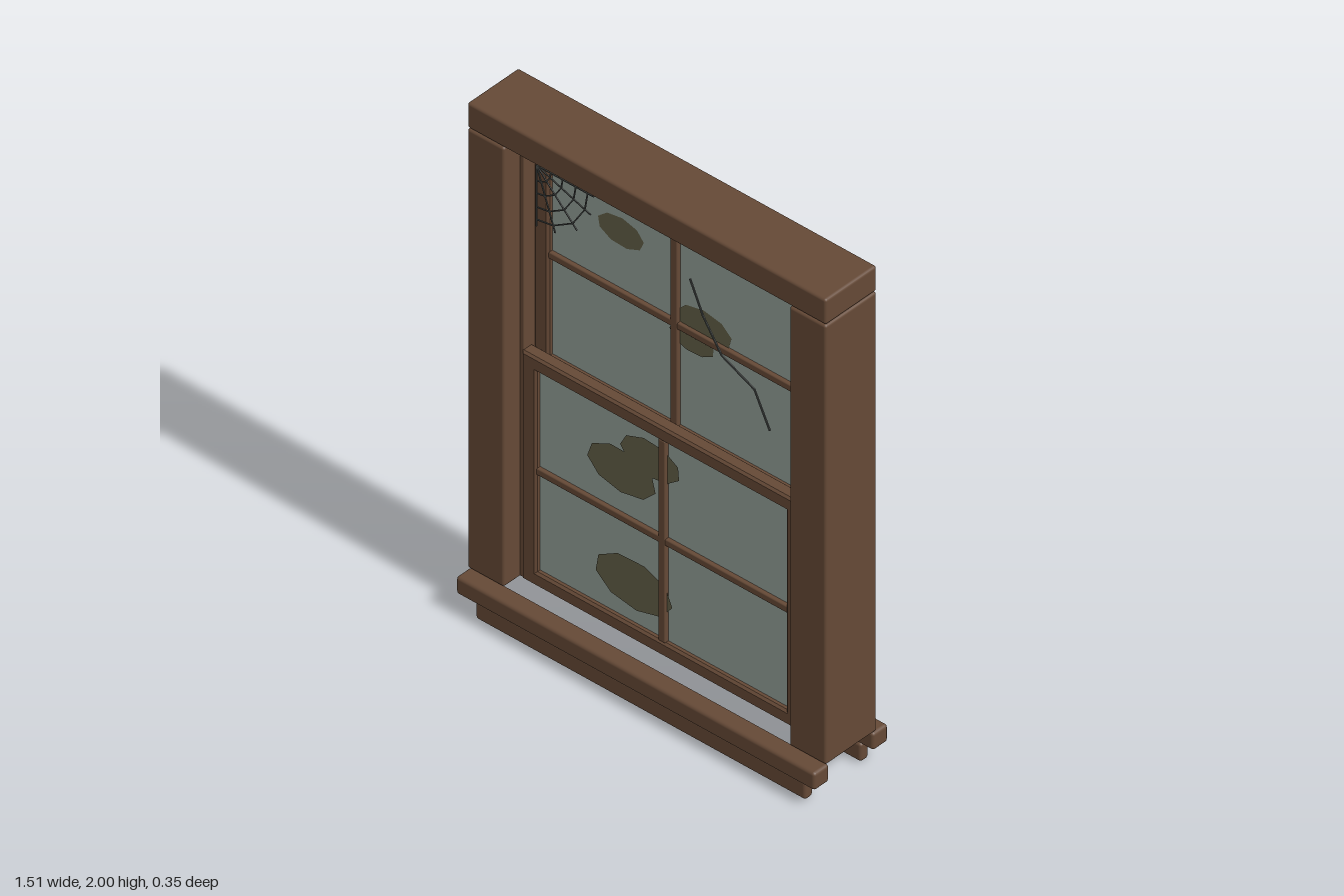
import * as THREE from 'three';
import { RoundedBoxGeometry } from 'three/addons/geometries/RoundedBoxGeometry.js';

const material = (name, color, side = THREE.FrontSide) => {
  const m = new THREE.MeshStandardMaterial({ color, side });
  m.name = name;
  return m;
};

export function createModel() {
  const wood = material('brown wood', 0x654936);
  const glass = material('dusty glass', 0x939f98);
  const grime = material('olive grime', 0x625f47);
  const thread = material('dark grey', 0x4a4e4c);
  const model = new THREE.Group();
  model.name = 'window';

  const add = (parent, name, geometry, mat, x = 0, y = 0, z = 0) => {
    const mesh = new THREE.Mesh(geometry, mat);
    mesh.name = name;
    mesh.position.set(x, y, z);
    parent.add(mesh);
    return mesh;
  };

  // Rounded timber given by its extents
  const timber = (parent, name, x0, x1, y0, y1, z0, z1, r = 0.01) =>
    add(parent, name, new RoundedBoxGeometry(x1 - x0, y1 - y0, z1 - z0, 2, r), wood,
      (x0 + x1) / 2, (y0 + y1) / 2, (z0 + z1) / 2);

  // Outer frame
  timber(model, 'head', -0.755, 0.755, 1.9, 2, -0.12, 0.12);
  for (const [side, s] of [['left', 1], ['right', -1]]) {
    const xs = (a, b) => (s > 0 ? [a, b] : [-b, -a]);
    timber(model, side + 'Jamb', ...xs(0.6, 0.755), 0.155, 1.897, -0.12, 0.12);
    timber(model, side + 'Track', ...xs(0.583, 0.61), 0.16, 1.895, -0.05, 0.045, 0.004);
  }

  // Sill and apron on both faces
  for (const [side, s] of [['front', 1], ['back', -1]]) {
    const zs = (a, b) => (s > 0 ? [a, b] : [-b, -a]);
    timber(model, side + 'Sill', -0.755, 0.755, 0.082, 0.151, ...zs(0.102, 0.173), 0.012);
    timber(model, side + 'Apron', -0.695, 0.695, 0, 0.073, ...zs(0.111, 0.149), 0.012);
  }

  // Sliding sash: bevelled frame, pane and glazing bars
  const rect = (Type, w, h) => {
    const p = new Type();
    p.moveTo(-w, -h).lineTo(w, -h).lineTo(w, h).lineTo(-w, h).closePath();
    return p;
  };
  const makeSash = (name, y, z) => {
    const sash = new THREE.Group();
    sash.name = name;
    sash.position.set(0, y, z);
    model.add(sash);
    const outline = rect(THREE.Shape, 0.587, 0.453);
    outline.holes.push(rect(THREE.Path, 0.525, 0.397));
    const bevel = 0.008;
    const frame = new THREE.ExtrudeGeometry(outline, {
      depth: 0.052 - 2 * bevel, bevelThickness: bevel, bevelSize: bevel,
      bevelOffset: -bevel, bevelSegments: 1,
    });
    frame.translate(0, 0, bevel - 0.026);
    add(sash, 'sashFrame', frame, wood);
    add(sash, 'pane', new THREE.BoxGeometry(1.06, 0.804, 0.012), glass);
    timber(sash, 'verticalBar', -0.015, 0.015, -0.4, 0.4, -0.023, 0.023, 0.005);
    timber(sash, 'horizontalBar', -0.53, 0.53, -0.0135, 0.0135, -0.021, 0.021, 0.005);
    return sash;
  };
  const lower = makeSash('lowerSash', 0.612, 0.027);
  const upper = makeSash('upperSash', 1.437, -0.03);

  // Grime patches on the front of the panes: centre x, y and radii
  const patches = [
    [upper, -0.236, 1.675, 0.098, 0.057], [upper, 0.117, 1.481, 0.117, 0.064],
    [upper, 0.066, 1.402, 0.095, 0.05], [lower, -0.058, 0.898, 0.127, 0.073],
    [lower, -0.178, 0.792, 0.146, 0.087], [lower, -0.127, 0.368, 0.164, 0.098],
  ];
  patches.forEach(([sash, x, y, rx, ry], i) => {
    const patch = add(sash, 'grimePatch', new THREE.CircleGeometry(1, 9, 0.1 + i * 0.1), grime,
      x, y - sash.position.y, 0.008 + i * 0.0008);
    patch.scale.set(rx, ry, 1);
  });

  // Thin straight strand between two points in the plane
  const strand = (parent, name, a, b, width) => {
    const d = b.clone().sub(a);
    const mesh = add(parent, name, new THREE.BoxGeometry(d.length() + width * 0.5, width, 0.004), thread,
      (a.x + b.x) / 2, (a.y + b.y) / 2, 0.05);
    mesh.rotation.z = d.angle();
  };

  // Crack
  const crack = new THREE.Group();
  crack.name = 'crack';
  model.add(crack);
  const crackPoints = [[0.122, 1.714], [0.175, 1.598], [0.254, 1.481], [0.392, 1.418], [0.456, 1.29]]
    .map(p => new THREE.Vector2(...p));
  for (let i = 1; i < crackPoints.length; i++) {
    strand(crack, 'crackSegment', crackPoints[i - 1], crackPoints[i], 0.007);
  }

  // Corner cobweb: spokes and rings
  const web = new THREE.Group();
  web.name = 'cobweb';
  model.add(web);
  const corner = new THREE.Vector2(-0.525, 1.83);
  const onWeb = (deg, r) => {
    const t = THREE.MathUtils.degToRad(deg);
    return new THREE.Vector2(corner.x + r * Math.cos(t), corner.y - r * Math.sin(t));
  };
  const angles = [0, 19, 45, 71, 90];
  angles.forEach((angle, i) => {
    strand(web, 'webSpoke', corner, onWeb(angle, 0.24), 0.004);
    if (i === 0) return;
    for (const r of [0.06, 0.11, 0.165, 0.215]) {
      strand(web, 'webRing', onWeb(angles[i - 1], r), onWeb(angle, r), 0.004);
    }
  });

  return model;
}
